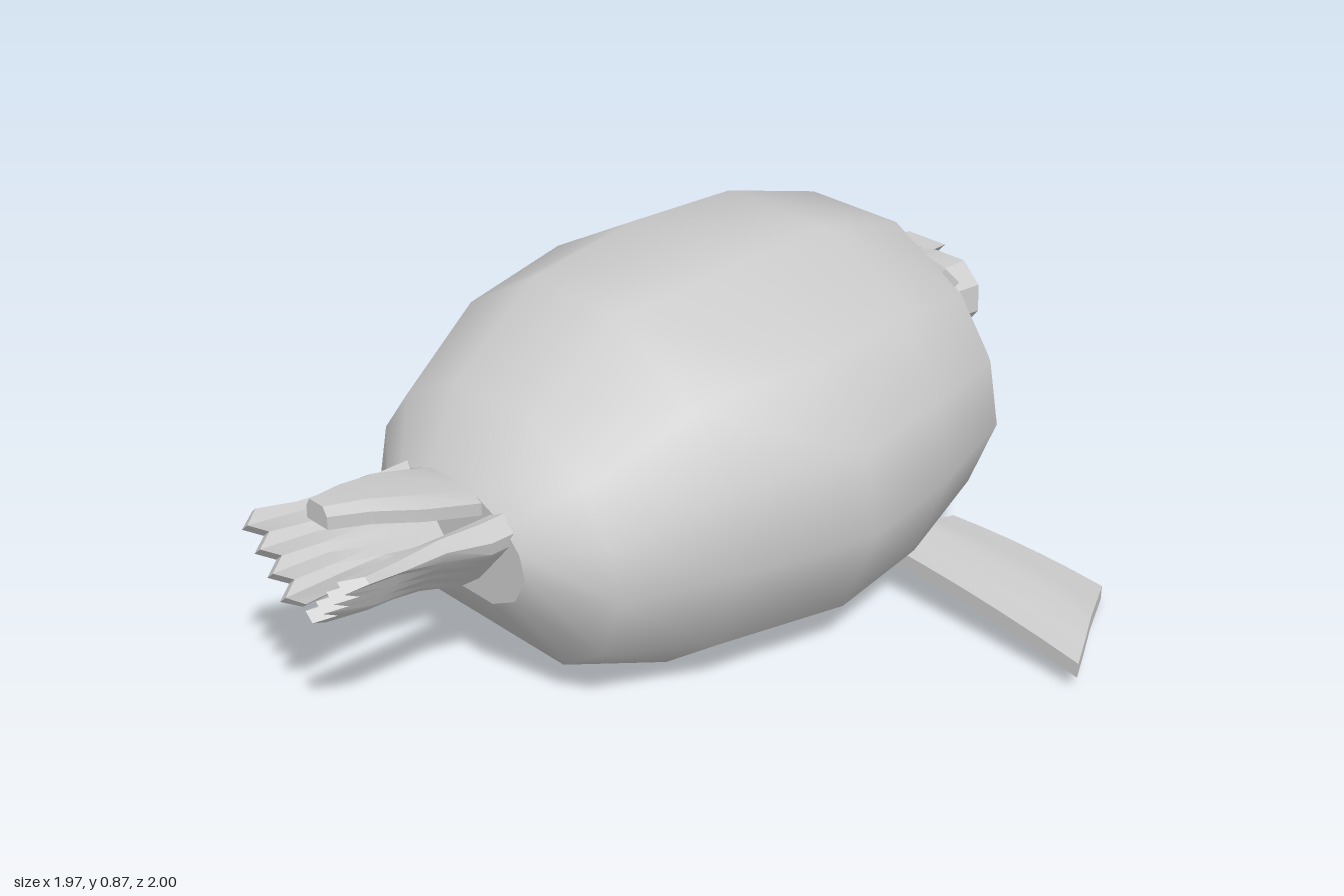
import * as THREE from 'three';
import { toCreasedNormals } from 'three/addons/utils/BufferGeometryUtils.js';

const material = new THREE.MeshStandardMaterial({ color: 0xcccccc });
const lerp = THREE.MathUtils.lerp;

// Skin a list of equal-sized rings of [x, y, z]; each end is closed by a strip joining i to n-1-i.
function loft(rings) {
  const n = rings[0].length, last = rings.length - 1;
  const points = [...rings, rings[0], rings[last]].flat();
  const index = [];
  for (let r = 0; r < last; r++) {
    for (let i = 0; i < n; i++) {
      const a = r * n + i, b = r * n + (i + 1) % n;
      index.push(a, b, b + n, a, b + n, a + n);
    }
  }
  const start = (last + 1) * n, end = start + n;
  for (let i = 0; i < n / 2 - 1; i++) {
    const j = n - 1 - i;
    index.push(start + i, start + j, start + j - 1, start + i, start + j - 1, start + i + 1);
    index.push(end + i, end + i + 1, end + j - 1, end + i, end + j - 1, end + j);
  }
  const geometry = new THREE.BufferGeometry();
  geometry.setAttribute('position', new THREE.Float32BufferAttribute(points.flat(), 3));
  geometry.setIndex(index);
  geometry.computeVertexNormals();
  return geometry;
}

// Mirror rings across x, keeping the winding outward.
const mirrored = (rings, side) => side > 0 ? rings
  : rings.map(ring => ring.map(([x, y, z]) => [-x, y, z]).reverse());

// Complete a right-hand half outline (bottom to top) into a closed one.
const whole = half => [...half, ...half.map(([x, y]) => [-x, y]).reverse()];

export function createModel() {
  const model = new THREE.Group();
  const add = (name, geometry) => {
    const mesh = new THREE.Mesh(geometry, material);
    mesh.name = name;
    model.add(mesh);
    return mesh;
  };
  const creased = (rings, angle = 0.5) => toCreasedNormals(loft(rings), angle);

  // Body: one twelve-sided section, scaled along z as [z, half width, low y, high y]
  const section = whole([[0.54, 0], [0.85, 0.15], [1, 0.41], [0.93, 0.63], [0.72, 0.83], [0.28, 1]]);
  const stations = [
    [-0.91, 0.28, 0.29, 0.55], [-0.83, 0.37, 0.16, 0.66], [-0.71, 0.48, 0.08, 0.79],
    [-0.43, 0.56, 0.005, 0.865], [-0.13, 0.61, 0, 0.87], [0.2, 0.52, 0.015, 0.84],
    [0.46, 0.41, 0.1, 0.68], [0.58, 0.24, 0.27, 0.53],
  ];
  add('body', loft(stations.map(([z, w, lo, hi]) =>
    section.map(([x, y]) => [x * w, lerp(lo, hi, y), z]))));

  // Muzzle: two-lobed outline with bevelled front
  const lobes = whole([[0.01, -0.06], [0.08, -0.105], [0.17, -0.09], [0.225, -0.02],
    [0.22, 0.05], [0.17, 0.1], [0.08, 0.1], [0.01, 0.085]]);
  add('muzzle', creased([[-0.985, 0.75], [-0.94, 1], [-0.85, 0.93]].map(([z, s]) =>
    lobes.map(([x, y]) => [x * s, 0.53 + y * s, z]))));

  // Nose: small downward triangle
  const triangle = new THREE.Shape([[-0.06, 0.62], [0, 0.55], [0.06, 0.62]]
    .map(([x, y]) => new THREE.Vector2(x, y)));
  const nose = new THREE.ExtrudeGeometry(triangle, { depth: 0.06, bevelEnabled: false });
  add('nose', nose.translate(0, 0, -1));

  // Tail: arched tapering blade, [z, half width, top y]
  add('tail', creased([[0.54, 0.105, 0.52], [0.73, 0.1, 0.575], [0.84, 0.065, 0.6], [0.93, 0.035, 0.61]]
    .map(([z, w, y]) => whole([[w, y - 0.05], [w, y - 0.02], [w * 0.65, y]])
      .map(([px, py]) => [px, py, z]))));

  for (const side of [1, -1]) {
    const prefix = side > 0 ? 'left' : 'right';

    // Eye: small block lying on the brow
    const eye = add(prefix + 'Eye', new THREE.BoxGeometry(0.085, 0.06, 0.035));
    eye.position.set(side * 0.195, 0.64, -0.81);
    eye.lookAt(side * 0.4, 1.24, -1.4);

    // Front flipper: swept ridged sheet reaching outward and down
    const ridge = [-0.02, -0.005, 0.012, 0, -0.002];
    const front = [];
    for (let k = 0; k <= 5; k++) {
      const t = k / 5;
      const at = (u, lower) => [
        lerp(0.42, lerp(0.81, 0.985, u), t),
        0.14 - 0.03 * t - 0.035 * t * t + ridge[u * 4] - lower,
        lerp(-0.645 - 0.085 * t, -0.4, u),
      ];
      const chord = [0, 0.25, 0.5, 0.75, 1];
      front.push([...chord.map(u => at(u, 0)), ...chord.map(u => at(u, 0.037)).reverse()]);
    }
    add(prefix + 'FrontFlipper', creased(mirrored(front, side)));

    // Hind flipper: slanted blade ending in pointed toes,
    // [z, inner x, inner y, outer x, outer y, half thickness]
    const blade = [
      [0.5, 0.04, 0.32, 0.18, 0.49, 0.04], [0.63, 0.04, 0.325, 0.18, 0.49, 0.04],
      [0.74, 0.045, 0.35, 0.17, 0.5, 0.027], [0.86, 0.04, 0.355, 0.175, 0.51, 0.02],
      [0.98, 0.03, 0.36, 0.19, 0.525, 0.015],
    ];
    const hind = blade.map(([z, x0, y0, x1, y1, h], k) => {
      const tip = k === blade.length - 1;
      const at = (i, sign) => {
        const u = i / 8, rim = i === 0 || i === 8 ? 0.6 : 1;
        const wave = k > 2 ? (i % 2 ? 0.006 : -0.006) : 0;
        const off = sign * h * rim + wave;
        return [lerp(x0, x1, u) - 0.74 * off, lerp(y0, y1, u) + 0.67 * off,
          z + (tip ? (i % 2 ? 0.02 : -0.025) : 0)];
      };
      const steps = [0, 1, 2, 3, 4, 5, 6, 7, 8];
      return [...steps.map(i => at(i, -1)), ...steps.map(i => at(i, 1)).reverse()];
    });
    add(prefix + 'HindFlipper', creased(mirrored(hind, side)));
  }
  return model;
}
